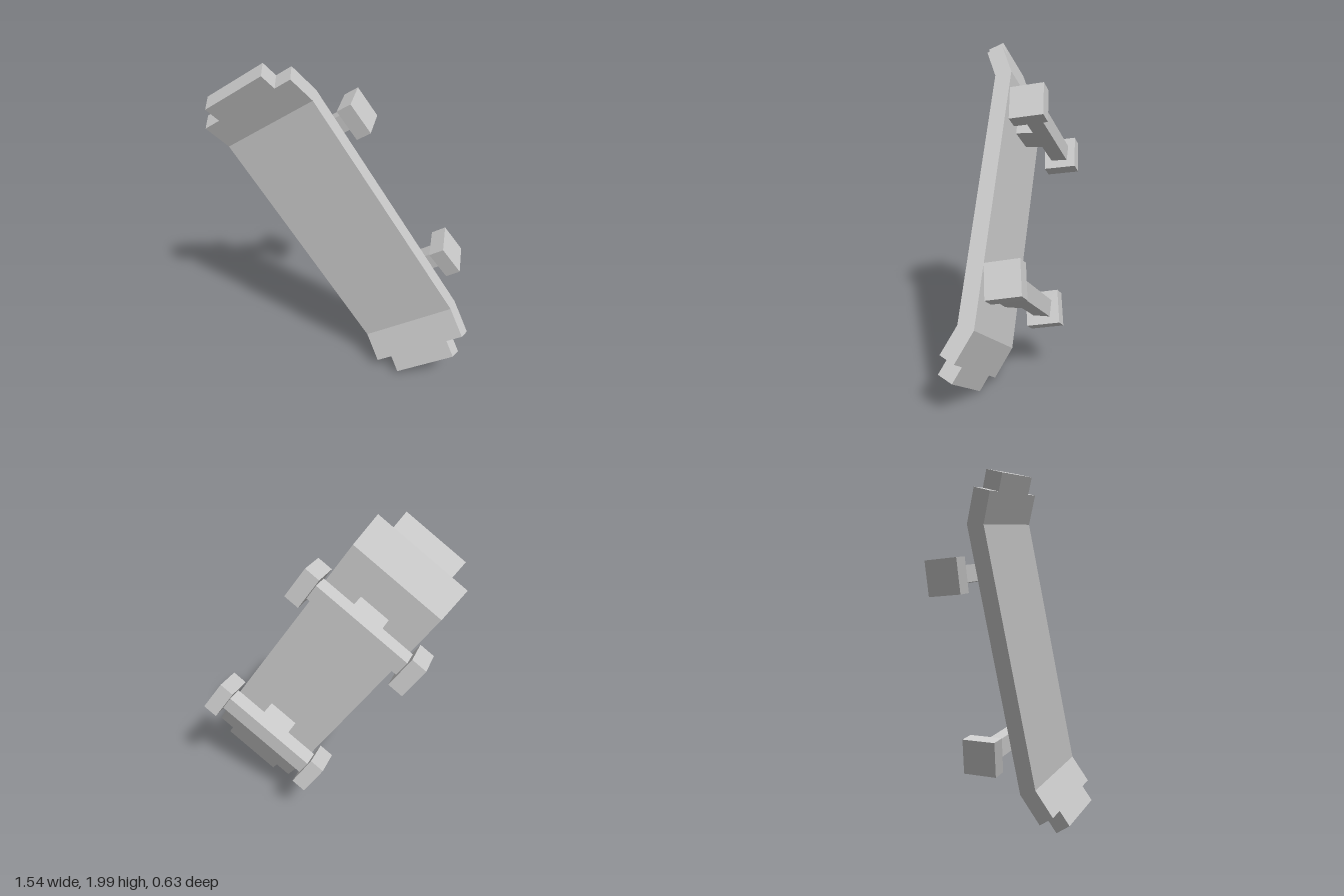
import * as THREE from 'three';

const material = new THREE.MeshStandardMaterial({ color: 0xcccccc, flatShading: true });

const HALF_FLAT = 0.754;   // half length of the flat part of the deck
const THICK = 0.1;
const WIDTH = 0.616;
const KICK = THREE.MathUtils.degToRad(24.8); // bend of nose and tail
const STEP = 0.181;        // kick length at full width
const TIP = 0.284;         // kick length to the narrow tip

function box(name, w, h, d, x, y, z) {
  const mesh = new THREE.Mesh(new THREE.BoxGeometry(w, h, d), material);
  mesh.name = name;
  mesh.position.set(x, y, z);
  return mesh;
}

// Extrudes a side profile (length, height) across the board's width
function slab(name, points, width) {
  const shape = new THREE.Shape(points.map(([v, n]) => new THREE.Vector2(v, n)));
  const geometry = new THREE.ExtrudeGeometry(shape, { depth: width, bevelEnabled: false });
  geometry.translate(0, 0, -width / 2);
  geometry.applyMatrix4(new THREE.Matrix4().makeBasis(
    new THREE.Vector3(0, 1, 0), new THREE.Vector3(0, 0, 1), new THREE.Vector3(1, 0, 0)));
  const mesh = new THREE.Mesh(geometry, material);
  mesh.name = name;
  return mesh;
}

// Points on the bent end, s along the kick, on the standing or the under side
const upper = (s) => [HALF_FLAT + s * Math.cos(KICK), s * Math.sin(KICK)];
const lower = (s) => {
  const [v, n] = upper(s);
  return [v + THICK * Math.sin(KICK), n - THICK * Math.cos(KICK)];
};
const flip = ([v, n]) => [-v, n];

function createDeck() {
  const deck = new THREE.Group();
  deck.name = 'deck';
  const miter = [HALF_FLAT + THICK * Math.tan(KICK / 2), -THICK];
  const half = [miter, lower(STEP), upper(STEP), upper(0)];
  deck.add(slab('plank', [...half, ...half.map(flip).reverse()], WIDTH));

  // Narrow tips leave a notch at each corner
  const tip = [lower(STEP), lower(TIP), upper(TIP), upper(STEP)];
  deck.add(slab('noseTip', tip, 0.404));
  deck.add(slab('tailTip', tip.map(flip).reverse(), 0.404));
  return deck;
}

function createTruck(name, v, wheelTurn) {
  const truck = new THREE.Group();
  truck.name = name;
  truck.position.set(0, v, -0.26);
  truck.add(box('axle', 0.65, 0.1, 0.105, 0, 0, 0));
  truck.add(box('axleMount', 0.2, 0.1, 0.11, 0, 0, 0.106));
  for (const side of [1, -1]) {
    const wheel = box(side > 0 ? 'leftWheel' : 'rightWheel', 0.095, 0.203, 0.203, side * 0.361, 0, 0);
    wheel.rotation.x = THREE.MathUtils.degToRad(wheelTurn);
    truck.add(wheel);
  }
  return truck;
}

export function createModel() {
  const model = new THREE.Group();
  model.name = 'skateboard';
  const board = new THREE.Group();
  board.name = 'board';
  board.add(createDeck());
  board.add(createTruck('noseTruck', 0.517, 5.5));
  board.add(createTruck('tailTruck', -0.517, 9.8));

  // Lean the board: width, length and normal directions
  const across = new THREE.Vector3(0.845, 0.535, 0).normalize();
  const along = new THREE.Vector3(-0.535, 0.845, 0.086).normalize();
  const normal = new THREE.Vector3().crossVectors(across, along);
  board.quaternion.setFromRotationMatrix(new THREE.Matrix4().makeBasis(across, along, normal));
  board.position.set(-0.003, 1.005, 0.115);
  model.add(board);
  return model;
}
